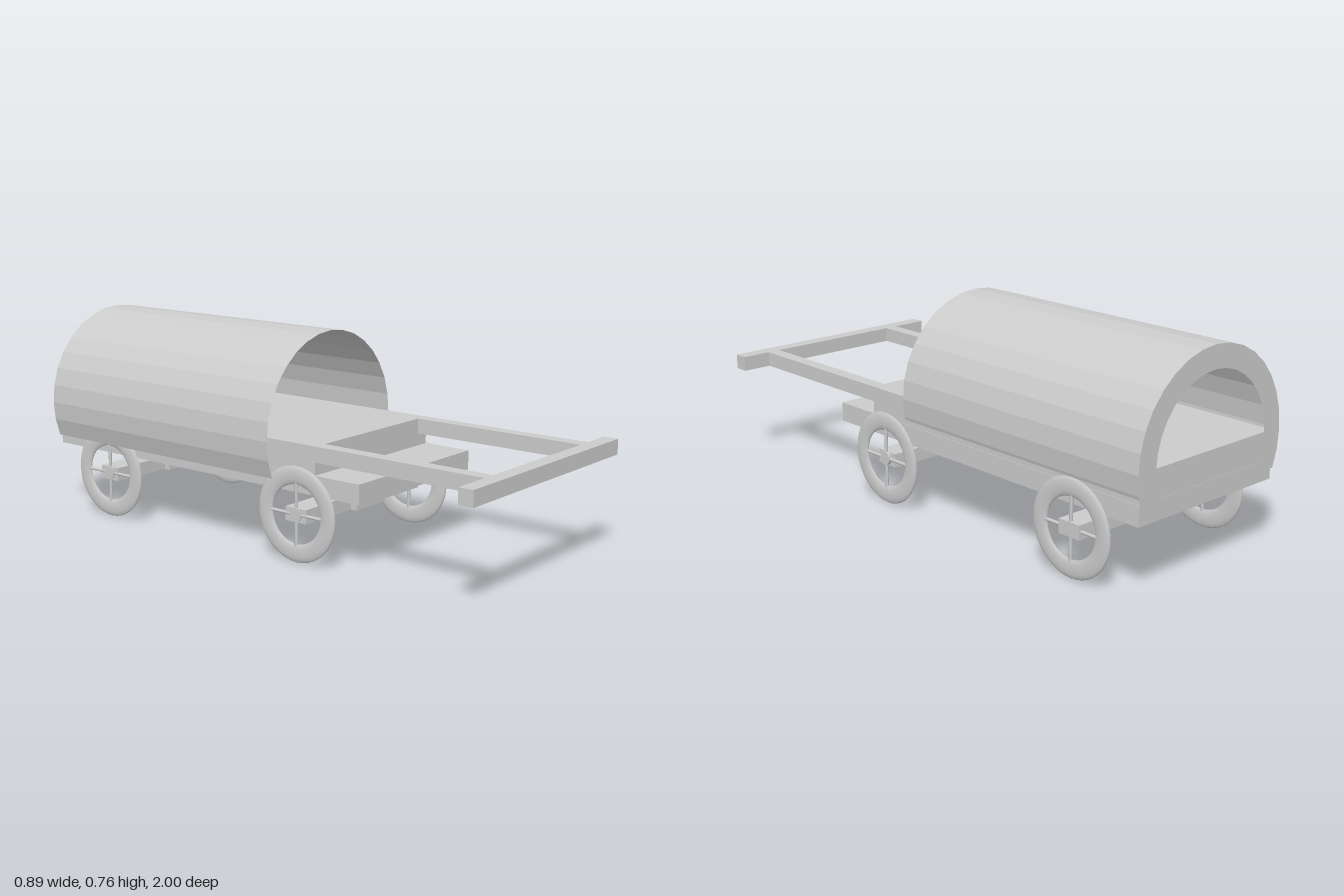
import * as THREE from 'three';

const flat = new THREE.MeshStandardMaterial({ color: 0xcccccc, flatShading: true, side: THREE.DoubleSide });
const smooth = new THREE.MeshStandardMaterial({ color: 0xcccccc });

export function createModel() {
  const model = new THREE.Group();
  model.name = 'coveredWagon';

  const add = (name, geometry, material = flat, parent = model) => {
    const mesh = new THREE.Mesh(geometry, material);
    mesh.name = name;
    parent.add(mesh);
    return mesh;
  };
  // Box given by its limits on each axis
  const box = (name, x0, x1, y0, y1, z0, z1) =>
    add(name, new THREE.BoxGeometry(x1 - x0, y1 - y0, z1 - z0))
      .position.set((x0 + x1) / 2, (y0 + y1) / 2, (z0 + z1) / 2);

  // Wagon bed: long slab with a raised deck that forms a step at the front
  box('bedSlab', -0.307, 0.337, 0.255, 0.325, -1, 0.467);
  box('deck', -0.305, 0.335, 0.325, 0.425, -0.999, 0.28);

  // Pulling shafts and their crossbar
  box('rightShaft', -0.305, -0.255, 0.37, 0.425, 0.28, 0.946);
  box('leftShaft', 0.285, 0.335, 0.37, 0.425, 0.28, 0.946);
  box('crossbar', -0.447, 0.447, 0.37, 0.425, 0.946, 1);

  // Thin faceted canopy, open in front, with a flat rim at the back
  const arc = Math.PI * 1.25;
  const canopy = add('canopy',
    new THREE.CylinderGeometry(0.345, 0.345, 1.1, 20, 1, true, Math.PI - arc / 2, arc));
  canopy.rotation.x = Math.PI / 2;
  canopy.position.set(0, 0.42, -0.45);
  add('canopyBackRim', new THREE.RingGeometry(0.265, 0.345, 20, 1, -Math.PI / 8, arc))
    .position.set(0, 0.42, -1);

  // Wheel: flattened tyre, four spokes and a hub, axis along x
  const wheel = (name, x, z) => {
    const group = new THREE.Group();
    group.name = name;
    const tyre = new THREE.TorusGeometry(0.1375, 0.0325, 12, 40);
    tyre.scale(1, 1, 0.25).rotateY(Math.PI / 2);
    add('tyre', tyre, smooth, group);
    for (let i = 0; i < 2; i++) {
      const spokes = add('spokes', new THREE.CylinderGeometry(0.006, 0.006, 0.23, 8), smooth, group);
      spokes.rotation.x = i * Math.PI / 2;
    }
    const hub = add('hub', new THREE.CylinderGeometry(0.025, 0.025, 0.016, 16), smooth, group);
    hub.rotation.z = Math.PI / 2;
    group.position.set(x, 0.177, z);
    model.add(group);
  };

  // Axles, each carrying the bed on a central block
  for (const [end, z, tip] of [['front', 0.2, 0.342], ['rear', -0.727, 0.355]]) {
    box(end + 'Axle', -0.312, tip, 0.15, 0.2, z - 0.045, z + 0.045);
    box(end + 'AxleBlock', -0.065, 0.095, 0.15, 0.255, z - 0.07, z + 0.07);
    wheel(end + 'RightWheel', -0.308, z);
    wheel(end + 'LeftWheel', 0.345, z);
  }
  return model;
}
